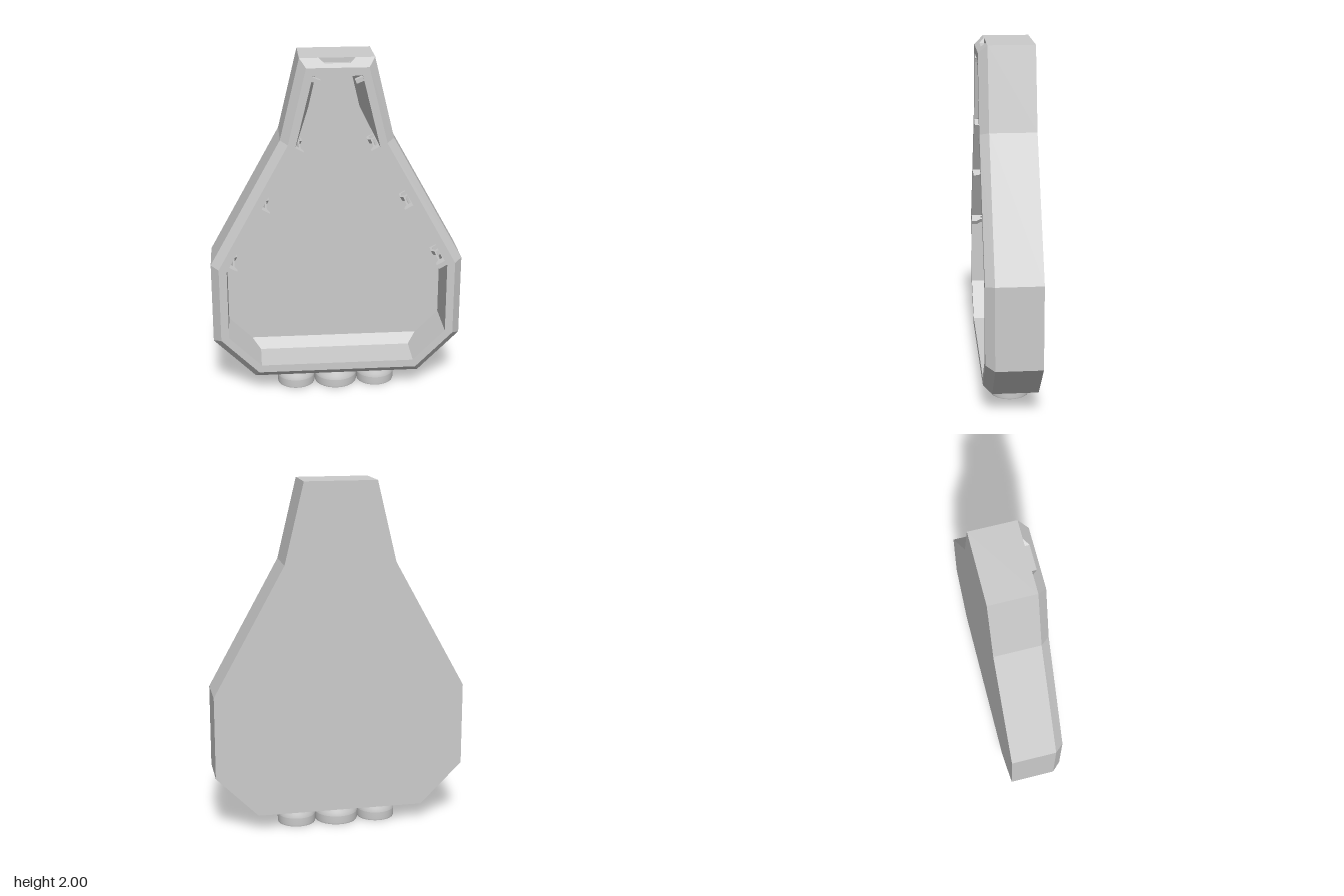
import * as THREE from 'three';

const grey = () => new THREE.MeshStandardMaterial({ color: 0xcccccc, flatShading: true });
const smooth = () => new THREE.MeshStandardMaterial({ color: 0xcccccc });
const v = (x, y, z) => new THREE.Vector3(x, y, z);

function mesh(name, geometry, material = grey()) {
  const m = new THREE.Mesh(geometry, material);
  m.name = name;
  return m;
}

// Mirrors a right-hand half outline (bottom to top) into a closed counter-clockwise ring
const mirror = (half) => [...half, ...[...half].reverse().map(([x, y]) => [-x, y])];

const ring = (half, z) => mirror(half).map(([x, y]) => v(x, y, z));

const mix = (a, b, t) => a.map(([x, y], i) => [x + (b[i][0] - x) * t, y + (b[i][1] - y) * t]);

// Flat polygons (quads or triangles) as fans of triangles
function facets(polygons) {
  const points = [];
  for (const p of polygons)
    for (let i = 1; i < p.length - 1; i++) {
      const tri = new THREE.Triangle(p[0], p[i], p[i + 1]);
      if (tri.getArea() > 1e-7) points.push(p[0], p[i], p[i + 1]);
    }
  const g = new THREE.BufferGeometry().setFromPoints(points);
  g.computeVertexNormals();
  return g;
}

// Band of quads between two rings, optionally leaving one side open
function band(a, b, skip = -1) {
  const quads = [];
  for (let i = 0; i < a.length; i++) {
    const j = (i + 1) % a.length;
    if (i !== skip) quads.push([a[i], a[j], b[j], b[i]]);
  }
  return facets(quads);
}

const outline = (points) => new THREE.Shape(points.map(([x, y]) => new THREE.Vector2(x, y)));

// Half outlines; the shoulder point is doubled so that all rings match
const outer = [[0.48, 0.10], [0.72, 0.34], [0.72, 0.815], [0.315, 1.545], [0.315, 1.545], [0.205, 2]];
const front = [[0.46, 0.145], [0.675, 0.36], [0.675, 0.803], [0.273, 1.53], [0.273, 1.53], [0.17, 1.955]];
const opening = [[0.445, 0.19], [0.63, 0.375], [0.63, 0.79], [0.235, 1.505], [0.235, 1.505], [0.135, 1.91]];
const floor = [[0.495, 0.24], [0.63, 0.375], [0.63, 0.79], [0.235, 1.505], [0.145, 1.668], [0.10, 1.86]];
const BACK = -0.155, EDGE = 0.105, FRONT = 0.155, FLOOR = -0.115, RAMP = -0.055;

function createShell() {
  const shell = new THREE.Group();
  shell.name = 'shell';
  const top = outer.length - 1;

  const back = new THREE.ShapeGeometry(outline(mirror(outer).filter((_, i) => i !== 4 && i !== 7)));
  back.rotateY(Math.PI).translate(0, 0, BACK);
  shell.add(mesh('backPanel', back));
  shell.add(mesh('outerWall', band(ring(outer, BACK), ring(outer, EDGE))));
  shell.add(mesh('frontChamfer', band(ring(outer, EDGE), ring(front, FRONT), top)));
  shell.add(mesh('frontRim', band(ring(front, FRONT), ring(opening, FRONT))));

  // Cavity walls, with a ramp along the bottom of the floor
  const middle = mix(opening, floor, (FRONT - RAMP) / (FRONT - FLOOR));
  middle[0] = opening[0];
  shell.add(mesh('cavityWall', band(ring(opening, FRONT), ring(middle, RAMP))));
  shell.add(mesh('cavityRamp', band(ring(middle, RAMP), ring(floor, FLOOR))));
  const base = new THREE.ShapeGeometry(outline(mirror(floor)));
  shell.add(mesh('cavityFloor', base.translate(0, 0, FLOOR)));

  // Top chamfer with its stepped notch
  const slope = (y) => EDGE + (2 - y) * (FRONT - EDGE) / 0.045;
  const cut = [[0.1, 2], [0.07, 1.975], [-0.07, 1.975], [-0.1, 2]];
  const chamfer = new THREE.ShapeGeometry(outline([[-0.205, 2], [-0.17, 1.955], [0.17, 1.955], [0.205, 2], ...cut]));
  const pos = chamfer.attributes.position;
  for (let i = 0; i < pos.count; i++) pos.setZ(i, slope(pos.getY(i)));
  chamfer.computeVertexNormals();
  shell.add(mesh('topChamfer', chamfer));

  const [a, b, c, d] = cut.map(([x, y]) => v(x, y, EDGE));
  const bf = v(b.x, b.y, slope(b.y)), cf = v(c.x, c.y, slope(c.y));
  shell.add(mesh('topNotch', facets([[c, b, a, d], [cf, bf, b, c], [a, b, bf], [d, cf, c]])));
  return shell;
}

// Places a profile drawn in (distance from wall, z) on the cavity wall
function wallPart(name, shape, x, y, nx, ny, width) {
  const g = new THREE.ExtrudeGeometry(shape, { depth: width, bevelEnabled: false });
  g.translate(0, 0, -width / 2);
  const inward = v(nx, ny, 0).normalize();
  const along = v(0, 0, 1);
  const m = new THREE.Matrix4().makeBasis(inward, along, inward.clone().cross(along));
  g.applyMatrix4(m.setPosition(x, y, 0));
  return mesh(name, g);
}

function createClips() {
  const clips = new THREE.Group();
  clips.name = 'clips';

  // Slotted arm with a thicker head and foot
  const arm = outline([[-0.005, 0.154], [0.052, 0.154], [0.052, 0.125], [0.034, 0.10], [0.034, -0.03],
    [0.052, -0.06], [0.052, -0.118], [-0.005, -0.118]]);
  arm.holes.push(outline([[0.008, 0.10], [0.008, -0.02], [0.024, -0.02], [0.024, 0.10]]));
  arm.holes.push(outline([[0.010, -0.045], [0.010, -0.10], [0.040, -0.10], [0.040, -0.065], [0.026, -0.045]]));
  const tab = outline([[-0.005, 0.154], [0.045, 0.154], [0.045, 0.125], [-0.005, 0.125]]);

  for (const side of [-1, 1]) {
    for (const [x, y] of [[0.622, 0.805], [0.431, 1.15], [0.238, 1.5]])
      clips.add(wallPart('wallClip', arm, side * x, y, -0.875 * side, -0.483, 0.028));
    clips.add(wallPart('topTab', tab, side * 0.139, 1.893, -0.93 * side, -0.37, 0.024));
  }
  return clips;
}

// Round hollow-bottomed feet, the middle one larger
function createFeet() {
  const feet = new THREE.Group();
  feet.name = 'feet';
  const sections = [
    ['footUnderside', [[0, 0.03], [0.66, 0.03]]],
    ['footRecess', [[0.66, 0.03], [0.70, 0]]],
    ['footSole', [[0.70, 0], [0.98, 0]]],
    ['footSide', [[0.98, 0], [1, 0.008], [1, 0.05]]],
    ['footShoulder', [[1, 0.05], [0.97, 0.07], [0.84, 0.105]]],
  ];
  for (const [x, r] of [[-0.237, 0.111], [0, 0.126], [0.237, 0.111]]) {
    const foot = new THREE.Group();
    foot.name = 'foot';
    for (const [name, profile] of sections) {
      const points = profile.map(([px, py]) => new THREE.Vector2(px * r, py));
      foot.add(mesh(name, new THREE.LatheGeometry(points, 40), smooth()));
    }
    foot.position.set(x, 0, -0.012);
    feet.add(foot);
  }
  return feet;
}

export function createModel() {
  const model = new THREE.Group();
  model.name = 'displayCase';
  model.add(createShell(), createClips(), createFeet());
  return model;
}
